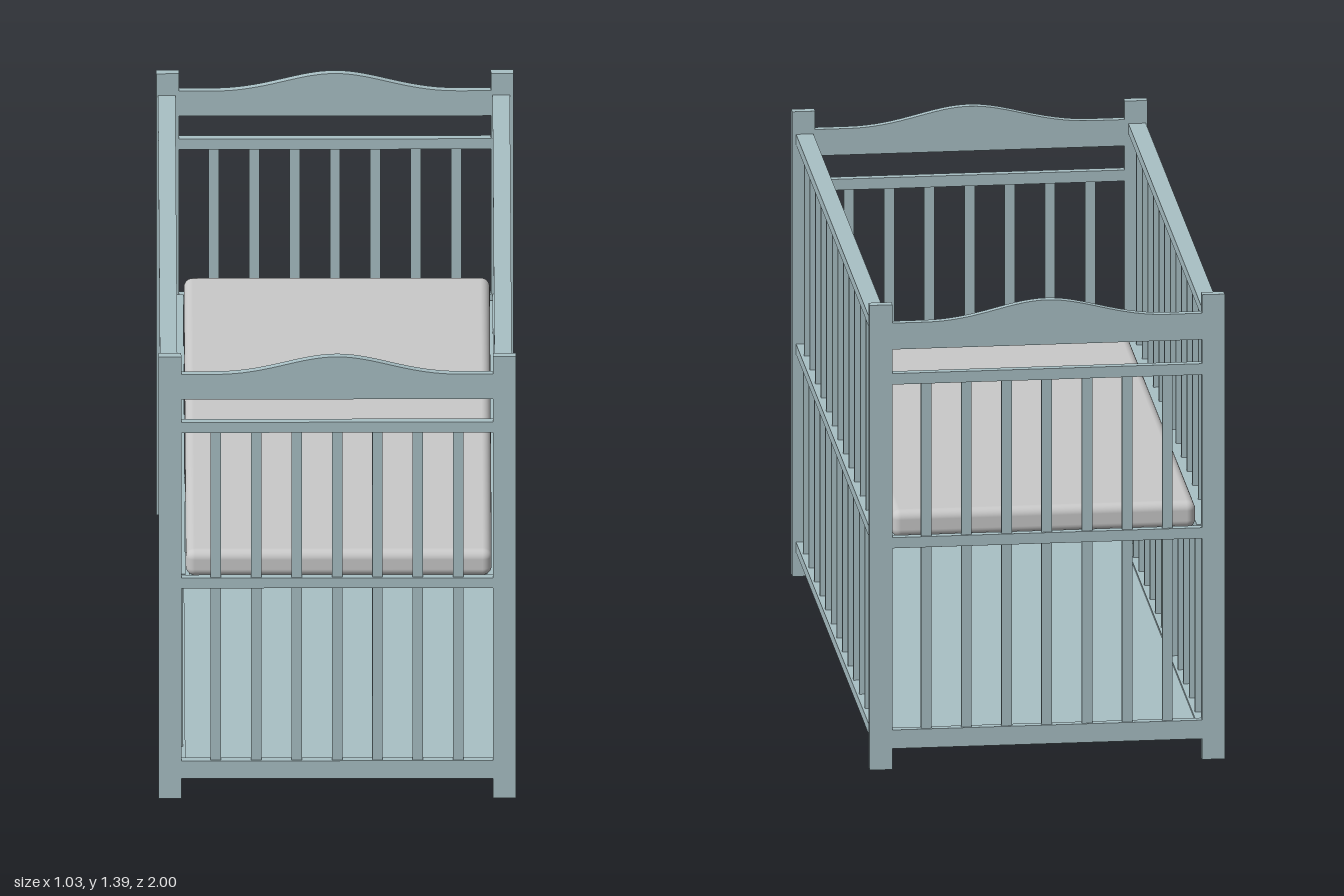
import * as THREE from 'three';
import { RoundedBoxGeometry } from 'three/addons/geometries/RoundedBoxGeometry.js';

export function createModel() {
  const crib = new THREE.Group();
  crib.name = 'crib';
  const paint = new THREE.MeshStandardMaterial({ name: 'painted wood', color: 0xa9c0c5 });
  const fabric = new THREE.MeshStandardMaterial({ name: 'mattress fabric', color: 0xc9c9c9 });

  // Box given by its limits on each axis
  function box(parent, name, [x0, x1], [y0, y1], [z0, z1]) {
    const mesh = new THREE.Mesh(new THREE.BoxGeometry(x1 - x0, y1 - y0, z1 - z0), paint);
    mesh.position.set((x0 + x1) / 2, (y0 + y1) / 2, (z0 + z1) / 2);
    mesh.name = name;
    parent.add(mesh);
  }
  const around = (c, w) => [c - w / 2, c + w / 2];

  // Arched board joining the posts at the top of each end
  const arch = new THREE.Shape();
  arch.moveTo(-0.448, 1.259);
  arch.lineTo(0.448, 1.259);
  arch.lineTo(0.448, 1.338);
  arch.lineTo(0.35, 1.338);
  arch.bezierCurveTo(0.2, 1.338, 0.11, 1.393, 0, 1.393);
  arch.bezierCurveTo(-0.11, 1.393, -0.2, 1.338, -0.35, 1.338);
  arch.lineTo(-0.448, 1.338);
  arch.closePath();
  const archGeometry = new THREE.ExtrudeGeometry(arch, { depth: 0.022, bevelEnabled: false, curveSegments: 16 });
  archGeometry.translate(0, 0, -0.011);

  // End panels: posts, arch, rails and seven slats
  for (const side of [1, -1]) {
    const end = new THREE.Group();
    end.name = side > 0 ? 'frontEnd' : 'backEnd';
    end.position.z = side * 0.9865;
    crib.add(end);
    for (const s of [1, -1]) box(end, 'post', around(s * 0.481, 0.066), [0, 1.394], around(0, 0.027));
    const board = new THREE.Mesh(archGeometry, paint);
    board.name = 'archedBoard';
    end.add(board);
    const span = [-0.448, 0.448];
    box(end, 'upperRail', span, [1.154, 1.187], around(0, 0.024));
    box(end, 'middleRail', span, [0.663, 0.695], around(0, 0.024));
    box(end, 'bottomRail', span, [0.062, 0.118], around(0, 0.024));
    for (let i = -3; i <= 3; i++) {
      box(end, 'upperSlat', around(i * 0.1163, 0.03), [0.695, 1.154], around(0, 0.013));
      box(end, 'lowerSlat', around(i * 0.1163, 0.03), [0.118, 0.663], around(0, 0.013));
    }
  }

  // Long sides; the right one has its upper part set a little further out
  const sides = [
    { name: 'leftSide', upper: 0.478, lower: 0.478 },
    { name: 'rightSide', upper: -0.484, lower: -0.461 },
  ];
  for (const { name, upper, lower } of sides) {
    const panel = new THREE.Group();
    panel.name = name;
    crib.add(panel);
    const length = [-0.973, 0.973];
    box(panel, 'topRail', around(upper, 0.05), [1.295, 1.326], length);
    box(panel, 'middleRail', around(lower, 0.05), [0.666, 0.697], length);
    box(panel, 'bottomRail', around(lower, 0.05), [0.072, 0.103], length);
    for (let i = -6; i <= 6; i++) {
      const z = around(i * 0.143, 0.013);
      box(panel, 'upperSlat', around(upper, 0.03), [0.697, 1.295], z);
      box(panel, 'lowerSlat', around(lower, 0.036), [0.103, 0.666], z);
    }
  }

  // Mattress base and storage floor
  box(crib, 'mattressBase', [-0.425, 0.455], [0.653, 0.68], [-0.965, 0.965]);
  box(crib, 'floorBoard', [-0.44, 0.456], [0.08, 0.096], [-0.974, 0.974]);

  // Mattress
  const mattress = new THREE.Mesh(new RoundedBoxGeometry(0.88, 0.082, 1.926, 4, 0.026), fabric);
  mattress.name = 'mattress';
  mattress.position.set(0.005, 0.721, 0);
  crib.add(mattress);

  return crib;
}
